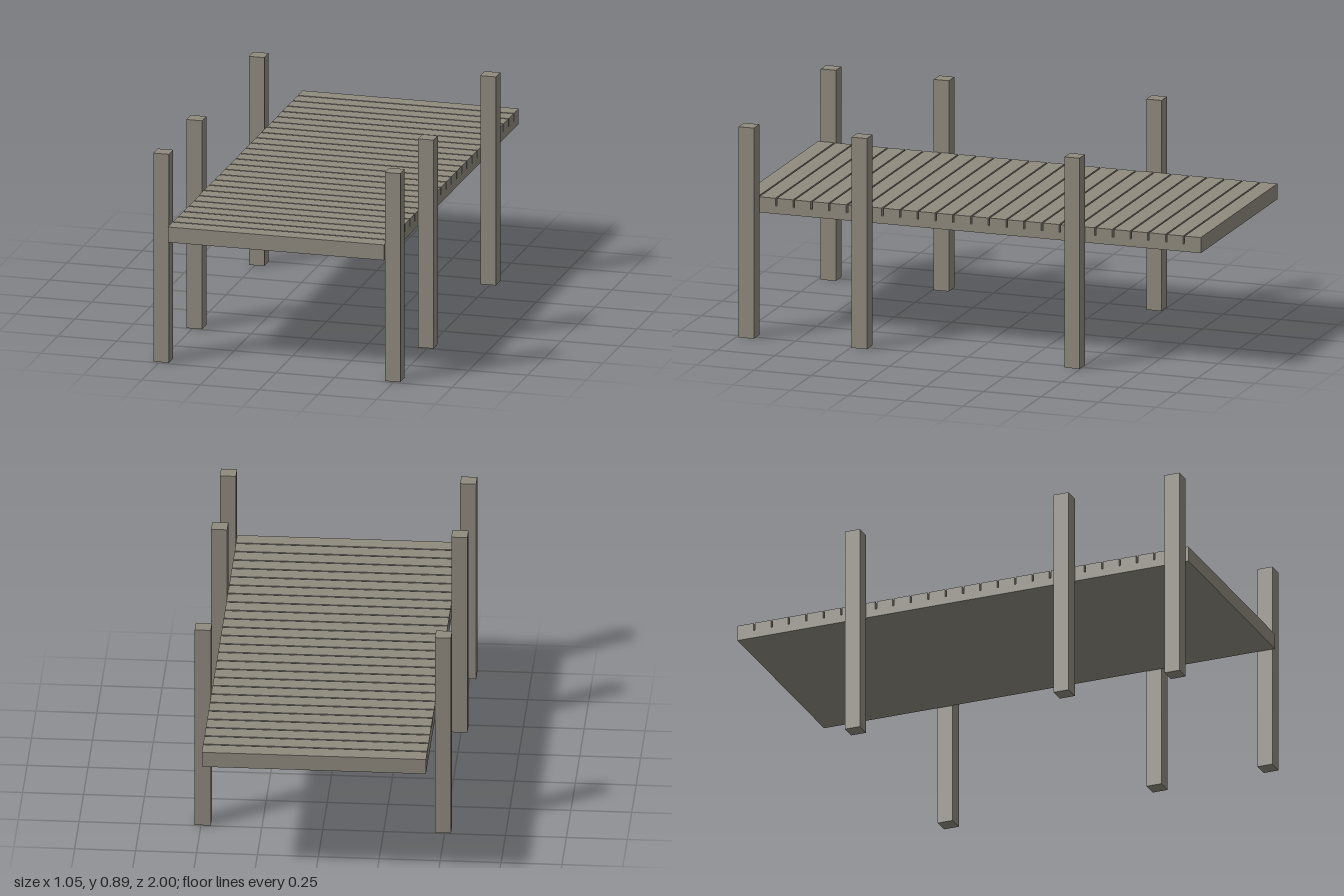
import * as THREE from 'three';

export function createModel() {
  const model = new THREE.Group();
  const wood = new THREE.MeshStandardMaterial({ color: 0x8f8a7e });
  wood.name = 'weathered wood';

  function addBox(name, w, h, d, x, y, z) {
    const mesh = new THREE.Mesh(new THREE.BoxGeometry(w, h, d), wood);
    mesh.name = name;
    mesh.position.set(x, y, z);
    model.add(mesh);
  }

  const deckWidth = 0.92, bottom = 0.519, seam = 0.552, top = 0.585;

  // Solid slab under the planks
  addBox('deckBase', deckWidth, seam - bottom, 2, 0, (bottom + seam) / 2, 0);

  // Cross planks with narrow gaps, flush with both deck ends
  const count = 26, gap = 0.007;
  const plank = (2 - gap * (count - 1)) / count;
  for (let i = 0; i < count; i++) {
    const z = -1 + plank / 2 + i * (plank + gap);
    addBox('plank', deckWidth, top - seam, plank, 0, (seam + top) / 2, z);
  }

  // Three pairs of square posts standing against the deck sides
  const post = 0.066, postHeight = 0.892;
  for (const z of [0.955, 0.463, -0.463]) {
    for (const side of [-1, 1]) {
      addBox(side > 0 ? 'leftPost' : 'rightPost', post, postHeight, post,
        side * (deckWidth + post) / 2, postHeight / 2, z);
    }
  }
  return model;
}
